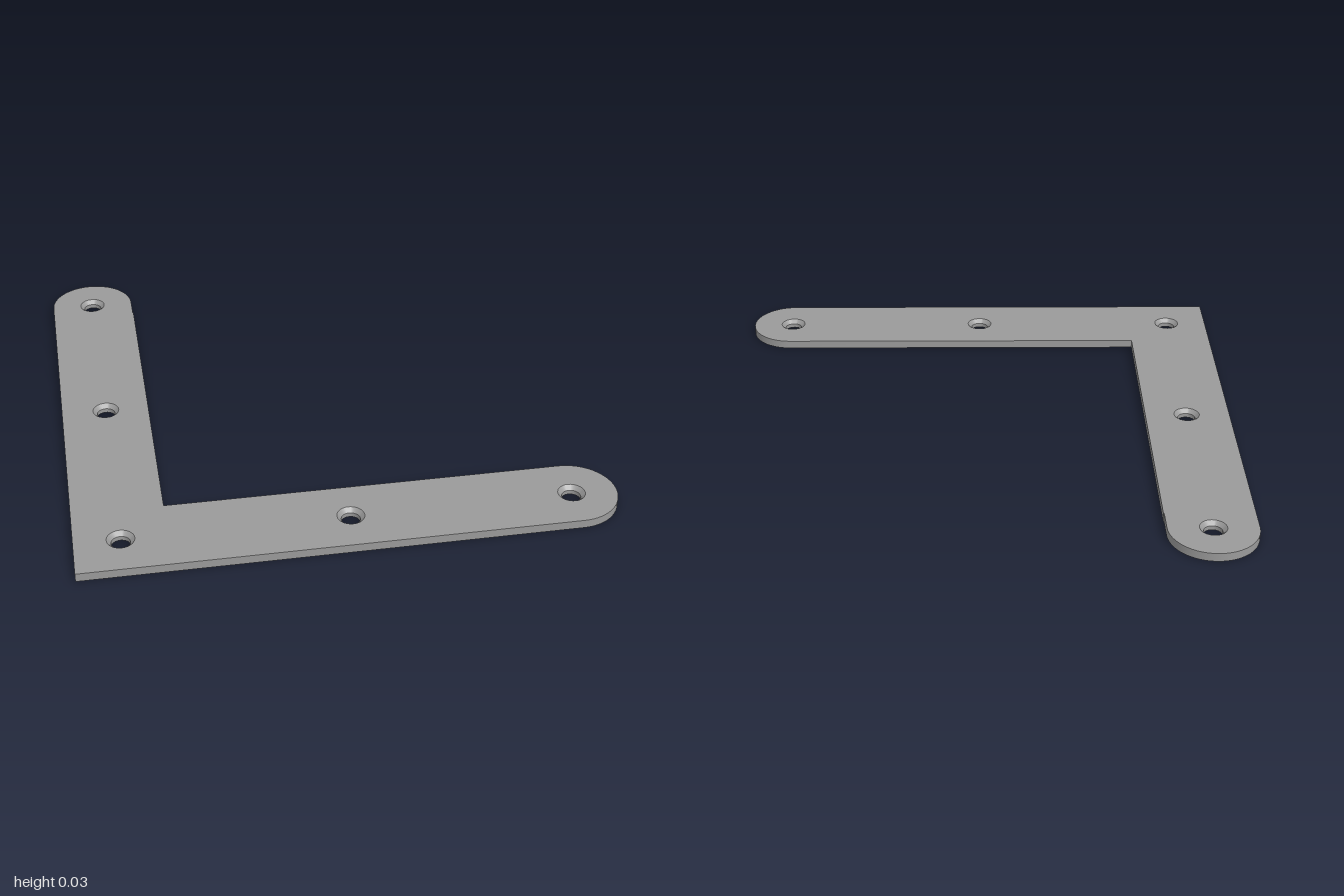
import * as THREE from 'three';
import { mergeGeometries, toCreasedNormals } from 'three/addons/utils/BufferGeometryUtils.js';

const T = 0.033;        // plate thickness
const R_BORE = 0.035;   // screw hole radius
const R_SINK = 0.051;   // countersink radius at the top face
const HOLES = [[-0.83, -0.83], [-0.828, 0], [-0.832, 0.832], [0.002, -0.83], [0.83, -0.83]];
const DIV = 16;

// L-shaped outline with rounded arm ends, drawn with y pointing to the back
function outline(holeRadius) {
  const s = new THREE.Shape();
  s.moveTo(-1, -1);
  s.lineTo(0.83, -1);
  s.absarc(0.83, -0.83, 0.17, -Math.PI / 2, Math.PI / 2);
  s.lineTo(-0.661, -0.66);
  s.lineTo(-0.661, 0.74);
  s.lineTo(-0.664, 0.74);
  s.absarc(-0.832, 0.832, 0.168, 0, Math.PI);
  s.lineTo(-1, -1);
  for (const [x, y] of HOLES) {
    s.holes.push(new THREE.Path().absarc(x, y, holeRadius, 0, Math.PI * 2, true));
  }
  return s;
}

// Vertical wall that follows the outline
function rimWall() {
  const pts = outline(R_BORE).getPoints(DIV);
  const pos = [];
  pts.forEach((a, i) => {
    const b = pts[(i + 1) % pts.length];
    if (a.distanceTo(b) < 1e-6) return;
    pos.push(a.x, a.y, 0, b.x, b.y, 0, b.x, b.y, T);
    pos.push(a.x, a.y, 0, b.x, b.y, T, a.x, a.y, T);
  });
  const g = new THREE.BufferGeometry();
  g.setAttribute('position', new THREE.Float32BufferAttribute(pos, 3));
  return g.rotateX(-Math.PI / 2);
}

// Merge surfaces, smooth on curves and sharp at edges
function creased(parts) {
  const plain = parts.map((p) => {
    const g = p.index ? p.toNonIndexed() : p;
    g.deleteAttribute('normal');
    g.deleteAttribute('uv');
    return g;
  });
  return toCreasedNormals(mergeGeometries(plain), Math.PI / 6);
}

export function createModel() {
  const group = new THREE.Group();
  group.name = 'cornerBracket';
  const material = new THREE.MeshStandardMaterial({ color: 0x9a9a9a });

  // Flat plate: top face, bottom face (winding reversed) and rim
  const top = new THREE.ShapeGeometry(outline(R_SINK), DIV).rotateX(-Math.PI / 2).translate(0, T, 0);
  const bottom = new THREE.ShapeGeometry(outline(R_BORE), DIV).rotateX(-Math.PI / 2);
  bottom.index.array.reverse();
  const plate = new THREE.Mesh(creased([top, bottom, rimWall()]), material);
  plate.name = 'plate';
  group.add(plate);

  // Countersunk screw holes, profile runs downward so the faces look inward
  const profile = [[R_SINK, T], [R_BORE, T - 0.016], [R_BORE, 0]].map(([r, y]) => new THREE.Vector2(r, y));
  const holeGeometry = creased([new THREE.LatheGeometry(profile, DIV * 2)]);
  HOLES.forEach(([x, y], i) => {
    const hole = new THREE.Mesh(holeGeometry, material);
    hole.name = `screwHole${i + 1}`;
    hole.position.set(x, 0, -y);
    group.add(hole);
  });

  return group;
}
